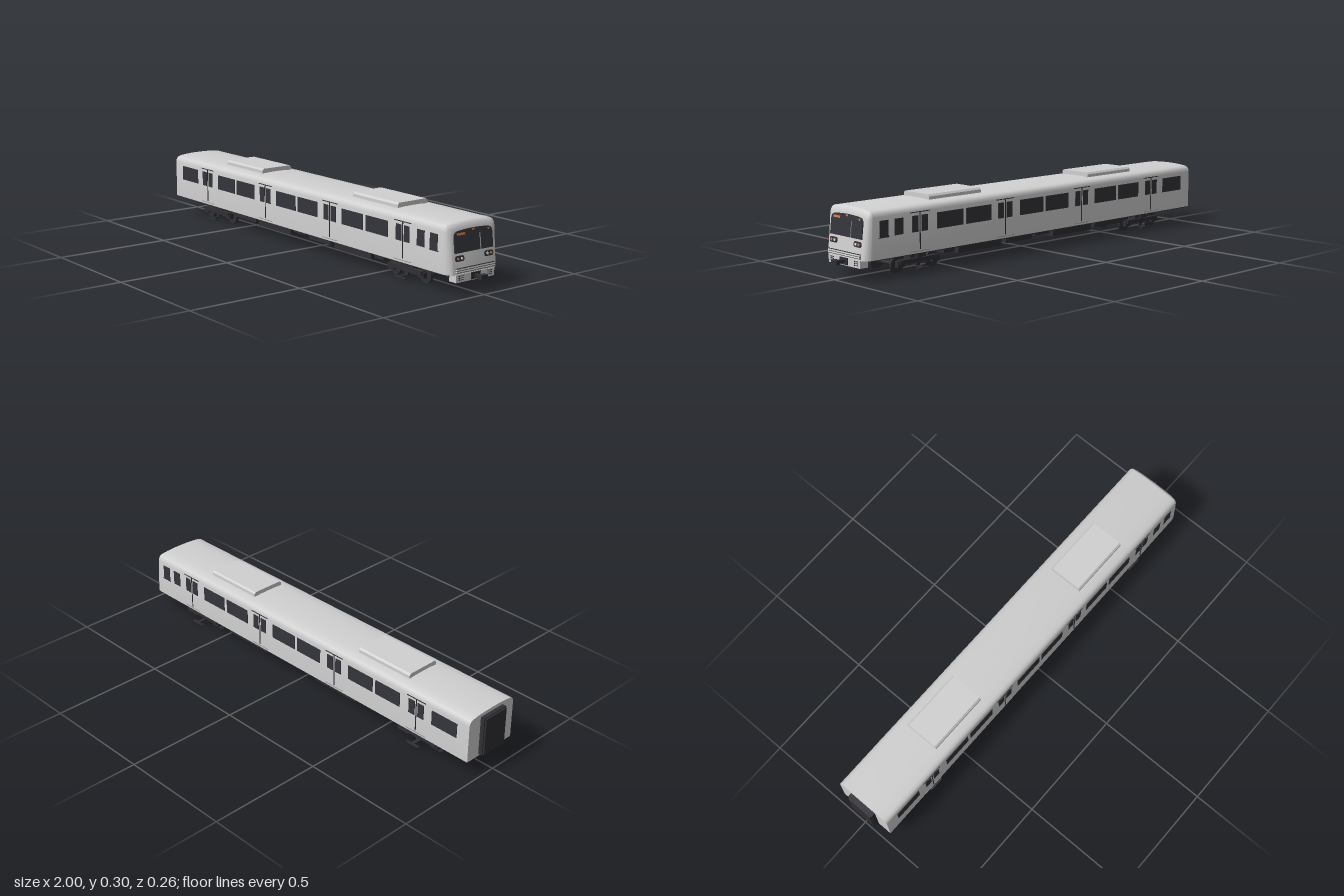
import * as THREE from 'three';
import { toCreasedNormals } from 'three/addons/utils/BufferGeometryUtils.js';

const mat = (name, color) => new THREE.MeshStandardMaterial({ name, color });

export function createModel() {
  const silver = mat('silver body', 0xd0d0d0);
  const grey = mat('grey trim', 0x8c8c90);
  const glass = mat('dark glass', 0x34353b);
  const dark = mat('dark underframe', 0x2f2f35);
  const orange = mat('orange lamp', 0xdc7840);
  const white = mat('white lamp', 0xe6e6e6);

  const model = new THREE.Group();
  model.name = 'railCar';

  const add = (parent, name, geo, material, x = 0, y = 0, z = 0) => {
    const m = new THREE.Mesh(geo, material);
    m.name = name;
    m.position.set(x, y, z);
    parent.add(m);
    return m;
  };
  // Box given by its extents
  const box = (parent, name, material, x0, x1, y0, y1, z0, z1) =>
    add(parent, name, new THREE.BoxGeometry(x1 - x0, y1 - y0, z1 - z0), material,
      (x0 + x1) / 2, (y0 + y1) / 2, (z0 + z1) / 2);
  const group = (parent, name) => {
    const g = new THREE.Group();
    g.name = name;
    parent.add(g);
    return g;
  };
  const plate = (shape, depth) => new THREE.ExtrudeGeometry(shape, { depth, bevelEnabled: false, curveSegments: 8 });

  // Body shell: one cross-section (z, y) swept along x, drawn in around the cab end
  const half = [[0.13, 0.08], [0.13, 0.245], [0.1275, 0.257], [0.121, 0.266],
    [0.11, 0.271], [0.08, 0.275], [0.04, 0.2775]];
  const section = [...half, [0, 0.278], ...half.map(([z, y]) => [-z, y]).reverse()];
  const noseX = 0.947, slope = 0.12, floorY = 0.08, steps = 6, n = section.length;
  const stations = [{ x: -0.975, inset: 0, t: 0 }];
  for (let i = 0; i <= steps; i++) {
    const a = (i / steps) * Math.PI / 2;
    stations.push({ x: 0.907 + (noseX - 0.907) * Math.sin(a), inset: 0.03 * (1 - Math.cos(a)), t: Math.sin(a) });
  }
  const pos = [], idx = [];
  stations.forEach(({ x, inset, t }, i) => {
    section.forEach(([z, y]) => {
      const yy = floorY + (y - floorY) * (1 - inset / 0.198);
      pos.push(x - slope * (yy - floorY) * t, yy, z * (1 - inset / 0.13));
    });
    if (i === stations.length - 1) return;
    for (let j = 0; j < n; j++) {
      const k = (j + 1) % n, a = i * n, b = a + n;
      idx.push(a + j, b + j, b + k, a + j, b + k, a + k);
    }
  });
  const last = (stations.length - 1) * n;
  for (let k = 1; k < n - 1; k++) idx.push(0, k, k + 1, last, last + k + 1, last + k);
  const shell = new THREE.BufferGeometry();
  shell.setAttribute('position', new THREE.Float32BufferAttribute(pos, 3));
  shell.setIndex(idx);
  add(model, 'bodyShell', toCreasedNormals(shell, 0.6), silver);
  box(model, 'floor', dark, -0.974, 0.91, 0.077, 0.0815, -0.129, 0.129);
  box(model, 'cabFloor', dark, 0.91, 0.94, 0.077, 0.0815, -0.1, 0.1);

  // Roof air-conditioning units
  const unit = new THREE.Shape([[-0.078, 0.265], [0.078, 0.265], [0.078, 0.288], [0.071, 0.296],
    [-0.071, 0.296], [-0.078, 0.288]].map(p => new THREE.Vector2(...p)));
  for (const x of [-0.615, 0.305])
    add(model, 'roofUnit', plate(unit, 0.28), silver, x).rotation.y = Math.PI / 2;

  // Windows and doors on both sides
  for (const s of [1, -1]) {
    const side = group(model, s > 0 ? 'frontSide' : 'rearSide');
    const panel = (name, m, x0, x1, y0, y1) =>
      box(side, name, m, x0, x1, y0, y1, s * 0.13 - 0.002, s * 0.13 + 0.002);
    for (const [a, b] of [[-0.915, -0.785], [-0.615, -0.48], [-0.465, -0.325], [-0.16, -0.02],
      [-0.005, 0.132], [0.295, 0.433], [0.45, 0.588], [0.76, 0.803], [0.834, 0.877]])
      panel('sideWindow', glass, a, b, 0.166, 0.231);
    for (const x of [-0.703, -0.243, 0.216, 0.676]) {
      for (const d of [-0.024, 0.024]) panel('doorWindow', glass, x + d - 0.016, x + d + 0.016, 0.166, 0.231);
      panel('doorSeam', dark, x - 0.002, x + 0.002, 0.096, 0.243);
      panel('doorRail', dark, x - 0.05, x + 0.05, 0.243, 0.246);
      panel('doorSill', grey, x - 0.05, x + 0.05, 0.088, 0.09);
    }
    panel('cabSill', dark, 0.83, 0.883, 0.163, 0.166);
  }

  // Cab end: a tilted group, local x runs across the face, y up it, z outwards
  const cab = group(model, 'cabFront');
  cab.position.set(noseX, floorY, 0);
  cab.rotation.set(-Math.atan(slope), Math.PI / 2, 0, 'YXZ');
  const screen = new THREE.Shape();
  screen.moveTo(-0.1, 0.082);
  screen.lineTo(0.1, 0.082);
  screen.lineTo(0.1, 0.143);
  screen.quadraticCurveTo(0.099, 0.163, 0.078, 0.166);
  screen.quadraticCurveTo(0, 0.174, -0.078, 0.166);
  screen.quadraticCurveTo(-0.099, 0.163, -0.1, 0.143);
  add(cab, 'windscreen', plate(screen, 0.004), glass);
  box(cab, 'destinationSign', orange, -0.085, -0.043, 0.149, 0.158, 0.002, 0.0055);
  box(cab, 'numberSign', orange, -0.006, 0.006, 0.161, 0.168, 0.002, 0.0055);
  const lamp = (name, m, x, y, r) => {
    const disc = add(cab, name, new THREE.CylinderGeometry(r, r, 0.004, 16), m, x, y, 0.0045);
    disc.rotation.x = Math.PI / 2;
  };
  lamp('topLamp', orange, 0.08, 0.157, 0.004);
  box(cab, 'wiper', grey, 0.032, 0.0345, 0.082, 0.147, 0.003, 0.007);
  for (const s of [-1, 1]) {
    const r = 0.008, w = 0.022, h = 0.011, cluster = new THREE.Shape();
    cluster.absarc(w - r, h - r, r, 0, Math.PI / 2);
    cluster.absarc(r - w, h - r, r, Math.PI / 2, Math.PI);
    cluster.absarc(r - w, r - h, r, Math.PI, Math.PI * 1.5);
    cluster.absarc(w - r, r - h, r, Math.PI * 1.5, Math.PI * 2);
    add(cab, 'lampCluster', plate(cluster, 0.004), glass, s * 0.076, 0.061);
    lamp('tailLamp', orange, s * 0.086, 0.061, 0.0052);
    lamp('headLamp', white, s * 0.067, 0.061, 0.0052);
  }
  box(cab, 'bumperBand', silver, -0.1, 0.1, 0.008, 0.024, -0.004, 0.008);
  for (const y of [0.008, 0.016, 0.024])
    box(cab, 'bandLine', dark, -0.101, 0.101, y - 0.0008, y + 0.0008, 0, 0.009);

  // Apron with vent holes, and the coupler
  box(model, 'apron', silver, 0.912, 0.95, 0.05, 0.081, -0.1, 0.1);
  for (const s of [-1, 1]) for (let i = 0; i < 3; i++) for (let j = 0; j < 3; j++) {
    const z = s * (0.066 + i * 0.0095), y = 0.06 + j * 0.0075;
    box(model, 'ventHole', dark, 0.949, 0.952, y - 0.002, y + 0.002, z - 0.002, z + 0.002);
  }
  box(model, 'couplerPlate', dark, 0.945, 0.954, 0.054, 0.081, -0.024, 0.024);
  box(model, 'couplerShaft', dark, 0.95, 0.985, 0.063, 0.073, -0.008, 0.008);
  box(model, 'couplerHead', dark, 0.98, 1.0, 0.059, 0.077, -0.017, 0.017);

  // Gangway at the far end, stepped in at its lip
  box(model, 'gangway', dark, -0.993, -0.974, 0.09, 0.262, -0.065, 0.065);
  box(model, 'gangwayLip', dark, -1.0, -0.99, 0.094, 0.258, -0.06, 0.06);

  // Equipment boxes below the floor
  for (const [a, b, y] of [[-0.54, -0.36, 0.05], [-0.337, -0.097, 0.043], [-0.075, 0.01, 0.06],
    [0.032, 0.182, 0.05], [0.208, 0.448, 0.043], [0.47, 0.527, 0.054]])
    box(model, 'equipmentBox', dark, a, b, y, 0.079, -0.1, 0.1);

  // Bogies
  for (const cx of [-0.684, 0.653]) {
    const bogie = group(model, 'bogie');
    bogie.position.x = cx;
    const round = (name, r, len, x, y, z) => {
      const m = add(bogie, name, new THREE.CylinderGeometry(r, r, len, 24), dark, x, y, z);
      m.rotation.x = Math.PI / 2;
    };
    box(bogie, 'bolster', dark, -0.04, 0.04, 0.045, 0.079, -0.09, 0.09);
    box(bogie, 'transom', dark, -0.025, 0.025, 0.025, 0.05, -0.028, 0.028);
    for (const x of [-0.09, 0.09]) {
      round('axle', 0.008, 0.18, x, 0.033, 0);
      box(bogie, 'motor', dark, x * 0.6 - 0.022, x * 0.6 + 0.022, 0.03, 0.06, -0.045, 0.045);
    }
    for (const s of [-1, 1]) {
      box(bogie, 'sideFrame', dark, -0.1, 0.1, 0.037, 0.054, s * 0.089 - 0.011, s * 0.089 + 0.011);
      for (const x of [-0.09, 0.09]) {
        round('wheel', 0.033, 0.011, x, 0.033, s * 0.063);
        box(bogie, 'axleBox', dark, x - 0.018, x + 0.018, 0.026, 0.05, s * 0.085 - 0.009, s * 0.085 + 0.009);
      }
      add(bogie, 'airSpring', new THREE.CylinderGeometry(0.022, 0.022, 0.026, 24), dark, 0, 0.065, s * 0.078);
      // Power collector shoe
      box(bogie, 'shoeHanger', dark, -0.01, 0.01, 0.015, 0.04, s * 0.085 - 0.004, s * 0.085 + 0.004);
      box(bogie, 'shoeArm', dark, -0.008, 0.008, 0.014, 0.02, s * 0.1 - 0.018, s * 0.1 + 0.018);
      box(bogie, 'shoe', dark, -0.033, 0.033, 0.011, 0.017, s * 0.12 - 0.005, s * 0.12 + 0.005);
    }
  }
  return model;
}
